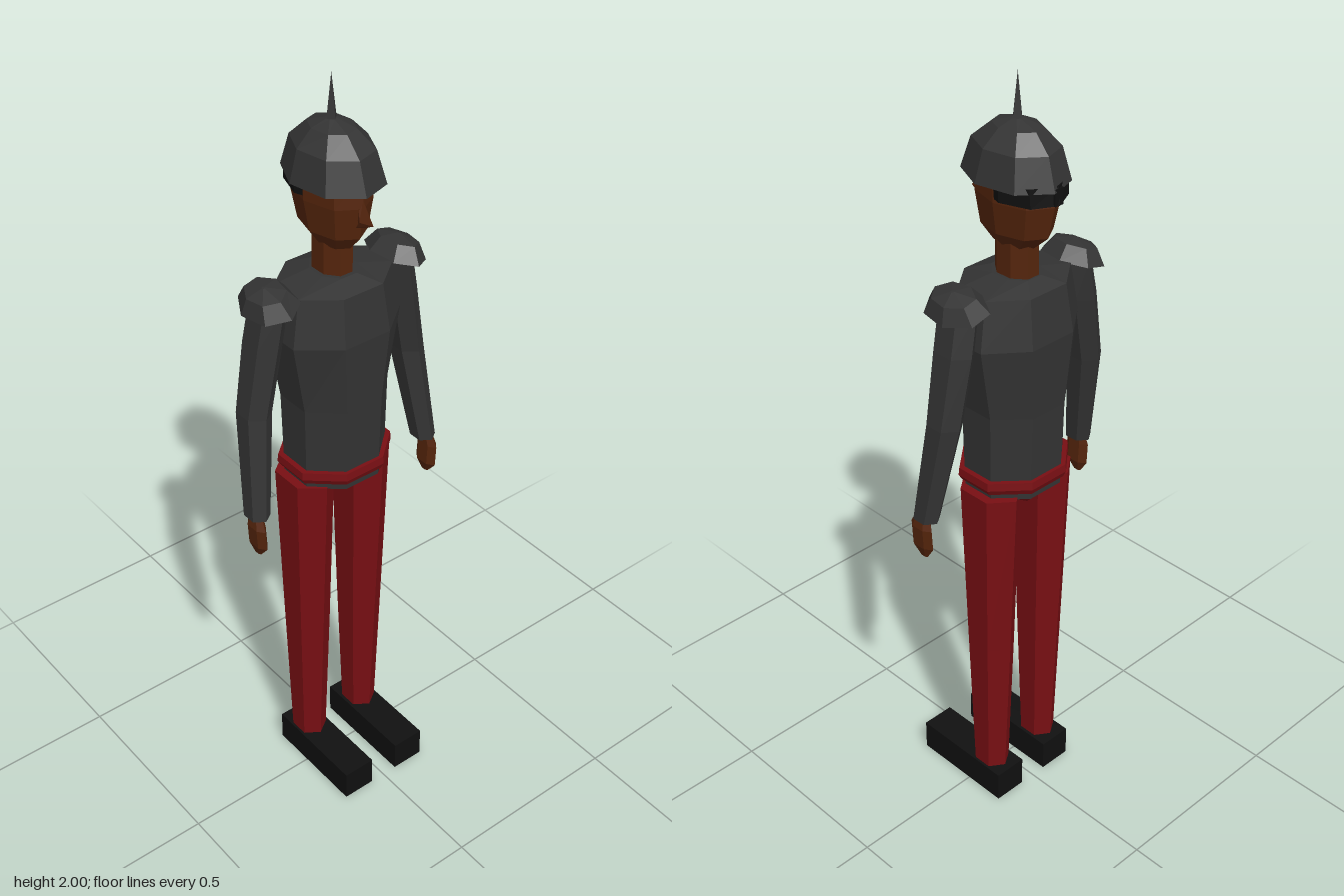
import * as THREE from 'three';

const mat = (name, color) => {
  const m = new THREE.MeshStandardMaterial({ color, flatShading: true });
  m.name = name;
  return m;
};

// Closed loft through horizontal rings [y, cx, cz, rx, rz], listed bottom to top.
// Radii are half extents; phase 0.5 turns a flat side towards each axis.
function loft(rings, n, phase = 0) {
  const k = phase ? 1 / Math.cos(Math.PI / n) : 1;
  const pos = [];
  const point = ([y, cx, cz, rx, rz], j) => {
    const a = ((j + phase) / n) * Math.PI * 2;
    return [cx + Math.cos(a) * rx * k, y, cz + Math.sin(a) * rz * k];
  };
  const tri = (a, b, c) => pos.push(...a, ...b, ...c);
  const low = rings[0], high = rings[rings.length - 1];
  for (let j = 0; j < n; j++) {
    for (let i = 0; i < rings.length - 1; i++) {
      const a = point(rings[i], j), b = point(rings[i], j + 1);
      const c = point(rings[i + 1], j), d = point(rings[i + 1], j + 1);
      tri(a, c, b);
      tri(c, d, b);
    }
    tri([low[1], low[0], low[2]], point(low, j), point(low, j + 1));
    tri([high[1], high[0], high[2]], point(high, j + 1), point(high, j));
  }
  const g = new THREE.BufferGeometry();
  g.setAttribute('position', new THREE.Float32BufferAttribute(pos, 3));
  g.computeVertexNormals();
  return g;
}

export function createModel() {
  const model = new THREE.Group();
  model.name = 'soldier';
  const cloth = mat('charcoal cloth', 0x333333);
  const red = mat('dark red', 0x780f13);
  const skin = mat('brown skin', 0x55250c);
  const black = mat('black leather', 0x101010);

  const add = (name, geometry, material, x = 0, y = 0, z = 0) => {
    const m = new THREE.Mesh(geometry, material);
    m.name = name;
    m.position.set(x, y, z);
    model.add(m);
    return m;
  };

  // Torso, belt and hips
  add('torso', loft([
    [0.97, -0.037, 0, 0.108, 0.122],
    [1.20, -0.037, 0, 0.115, 0.126],
    [1.39, -0.037, 0, 0.125, 0.158],
    [1.512, -0.037, 0, 0.108, 0.137],
    [1.53, -0.04, 0, 0.06, 0.05],
  ], 8, 0.5), cloth);
  add('belt', loft([
    [0.99, -0.037, 0, 0.115, 0.13],
    [1.005, -0.037, 0, 0.121, 0.139],
    [1.025, -0.037, 0, 0.119, 0.137],
  ], 8, 0.5), red);
  add('hips', loft([
    [0.92, -0.04, 0, 0.055, 0.03],
    [0.955, -0.04, 0, 0.09, 0.07],
    [0.98, -0.037, 0, 0.106, 0.12],
  ], 8, 0.5), red);

  // Neck, head and nose
  add('neck', loft([
    [1.50, -0.043, 0, 0.053, 0.042],
    [1.63, -0.043, 0, 0.053, 0.042],
  ], 8, 0.5), skin);
  add('head', loft([
    [1.602, -0.037, 0, 0.06, 0.04],
    [1.64, -0.042, 0, 0.098, 0.065],
    [1.72, -0.045, 0, 0.114, 0.078],
    [1.80, -0.045, 0, 0.108, 0.078],
  ], 8), skin);
  add('nose', loft([
    [1.672, 0.055, 0, 0.01, 0.01],
    [1.692, 0.07, 0, 0.033, 0.013],
    [1.74, 0.058, 0, 0.008, 0.005],
  ], 4), skin);

  // Helmet with headband and spike
  add('helmetBand', loft([
    [1.73, -0.07, 0, 0.104, 0.084],
    [1.775, -0.07, 0, 0.1, 0.086],
  ], 8), black);
  add('helmetBackClasp', new THREE.BoxGeometry(0.02, 0.04, 0.025), black, -0.162, 1.75, 0);
  add('helmetDome', loft([
    [1.763, -0.038, 0, 0.128, 0.097],
    [1.84, -0.04, 0, 0.104, 0.079],
    [1.88, -0.043, 0, 0.06, 0.045],
    [1.895, -0.043, 0, 0.012, 0.012],
  ], 8, 0.2), cloth);
  add('helmetSpike', new THREE.ConeGeometry(0.016, 0.12, 4), cloth, -0.043, 1.94, 0);

  // Paired limbs
  for (const s of [1, -1]) {
    const side = s > 0 ? 'Rear' : 'Near';
    add('leg' + side, loft([
      [0.07, -0.045, s * 0.087, 0.05, 0.043],
      [0.50, -0.045, s * 0.087, 0.069, 0.055],
      [0.975, -0.045, s * 0.088, 0.09, 0.066],
    ], 6), red);
    add('boot' + side, new THREE.BoxGeometry(0.29, 0.085, 0.09), black, 0.03, 0.0425, s * 0.086);
    add('arm' + side, loft([
      [0.95, -0.006, s * 0.262, 0.037, 0.03],
      [1.22, -0.045, s * 0.232, 0.049, 0.04],
      [1.40, -0.046, s * 0.2, 0.058, 0.042],
      [1.51, -0.043, s * 0.18, 0.058, 0.04],
    ], 6), cloth);
    add('hand' + side, loft([
      [0.838, 0, s * 0.268, 0.012, 0.004],
      [0.87, 0.003, s * 0.268, 0.036, 0.016],
      [0.925, 0.003, s * 0.271, 0.036, 0.016],
      [0.955, 0, s * 0.268, 0.024, 0.012],
    ], 6), skin);
    const pad = add('shoulderPad' + side, loft([
      [-0.008, 0, 0, 0.088, 0.066],
      [0.03, 0, 0, 0.06, 0.044],
      [0.041, 0, 0, 0.005, 0.004],
    ], 7), cloth, -0.04, 1.505, s * 0.186);
    pad.rotation.x = s * 0.25;
  }
  return model;
}
